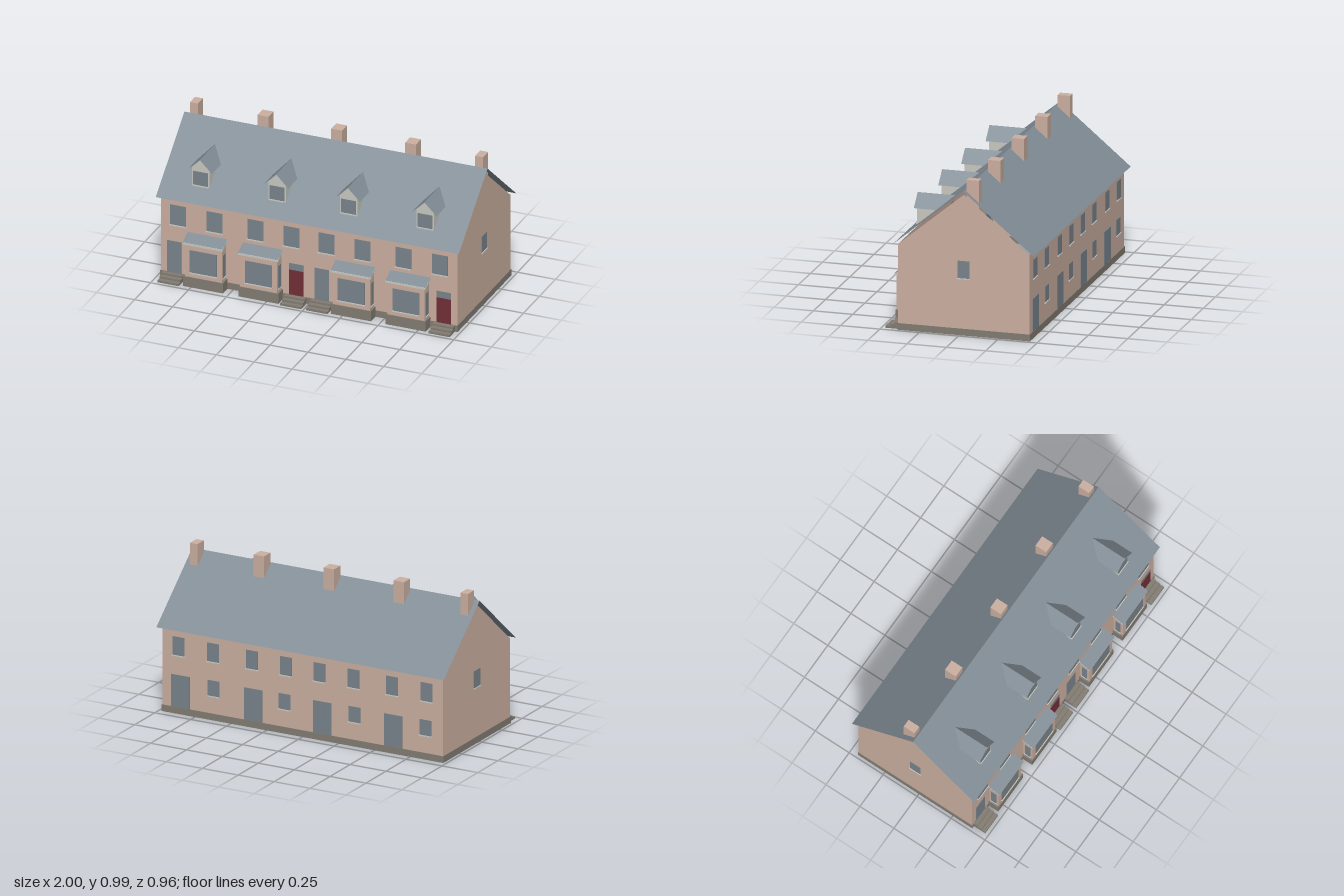
import * as THREE from 'three';

const mat = (name, color) => {
  const m = new THREE.MeshStandardMaterial({ color, side: THREE.DoubleSide });
  m.name = name;
  return m;
};

export function createModel() {
  const wall = mat('wall render', 0xcbafa0);
  const slate = mat('slate', 0x828d96);
  const glass = mat('glass', 0x79848c);
  const trim = mat('pale trim', 0xc9c9c1);
  const stone = mat('plinth stone', 0x827c72);
  const paint = mat('red door paint', 0x722e37);

  const model = new THREE.Group();
  model.name = 'terrace';

  const add = (name, geo, material, parent = model) => {
    const m = new THREE.Mesh(geo, material);
    m.name = name;
    parent.add(m);
    return m;
  };
  // box given by its min and max on each axis
  const box = (name, x0, x1, y0, y1, z0, z1, material, parent) =>
    add(name, new THREE.BoxGeometry(x1 - x0, y1 - y0, z1 - z0)
      .translate((x0 + x1) / 2, (y0 + y1) / 2, (z0 + z1) / 2), material, parent);
  // flat sheet through four corners
  const sheet = (name, corners, material, parent) => {
    const g = new THREE.BufferGeometry();
    g.setAttribute('position', new THREE.Float32BufferAttribute(corners.flat(), 3));
    g.setIndex([0, 1, 2, 0, 2, 3]);
    g.computeVertexNormals();
    return add(name, g, material, parent);
  };
  const outline = pts => new THREE.Shape(pts.map(p => new THREE.Vector2(...p)));
  // flat (z, y) outline standing at a given x
  const sideSheet = (name, pts, x, material, parent) =>
    add(name, new THREE.ShapeGeometry(outline(pts)).rotateY(-Math.PI / 2).translate(x, 0, 0), material, parent);
  // (z, y) outline drawn out along x, centred on x = 0
  const sideExtrude = (name, pts, width, material, parent) =>
    add(name, new THREE.ExtrudeGeometry(outline(pts), { depth: width, bevelEnabled: false })
      .rotateY(-Math.PI / 2).translate(width / 2, 0, 0), material, parent);
  const group = (name, x = 0) => {
    const g = new THREE.Group();
    g.name = name;
    g.position.x = x;
    model.add(g);
    return g;
  };

  const X = 0.978, FRONT = 0.39, BACK = -0.445, EAVE = 0.545, RIDGE_Z = -0.028;

  // main walls: an open-bottomed shell
  for (const z of [FRONT, BACK]) {
    const s = z > 0 ? 1 : -1;
    sheet(z > 0 ? 'frontWall' : 'backWall',
      [[-s * X, 0, z], [s * X, 0, z], [s * X, EAVE, z], [-s * X, EAVE, z]], wall);
  }
  for (const s of [-1, 1]) {
    sideSheet('gableWall', [[BACK, 0], [FRONT, 0], [FRONT, EAVE], [RIDGE_Z, 0.893], [BACK, EAVE]], s * X, wall);
    box('gablePlinth', s * X - 0.003, s * X + 0.003, 0, 0.042, BACK - 0.003, FRONT + 0.004, stone);
  }
  box('frontPlinth', -X, X, 0, 0.042, FRONT - 0.001, FRONT + 0.004, stone);
  box('backPlinth', -X, X, 0, 0.042, BACK - 0.004, BACK + 0.001, stone);

  // thin main roof slopes
  sheet('frontRoof', [[-1, EAVE, 0.42], [1, EAVE, 0.42], [1, 0.92, -0.03], [-1, 0.92, -0.03]], slate);
  sheet('backRoof', [[1, EAVE, -0.48], [-1, EAVE, -0.48], [-1, 0.92, -0.03], [1, 0.92, -0.03]], slate);

  // chimneys
  [[-0.942, 0.026], [-0.487, 0.036], [0, 0.036], [0.487, 0.036], [0.94, 0.026]].forEach(([x, h]) =>
    box('chimney', x - h, x + h, 0.8, 0.985, -0.12, -0.041, wall));

  // pane with a projecting sill on the front (s = 1) or back (s = -1)
  const pane = (name, x, half, y0, y1, z, s, material, sill = true, parent = model) => {
    const zs = d => [Math.min(z, z + s * d), Math.max(z, z + s * d)];
    box(name, x - half, x + half, y0, y1, ...zs(0.003), material, parent);
    if (sill) box('sill', x - half - 0.004, x + half + 0.004, y0 - 0.007, y0, ...zs(0.008), trim, parent);
  };

  // upper windows, front and back
  for (const s of [-1, 1]) for (const x of [0.864, 0.623, 0.353, 0.116]) {
    pane('frontUpperWindow', s * x, 0.052, 0.366, 0.5, FRONT, 1, glass);
    pane('backUpperWindow', s * x, 0.041, 0.376, 0.495, BACK, -1, glass);
  }
  // ground floor at the back
  for (const x of [0.85, 0.345, -0.137, -0.63]) pane('backDoor', x, 0.064, 0.042, 0.25, BACK, -1, glass, false);
  for (const x of [0.62, 0.125, -0.36, -0.855]) pane('backSmallWindow', x, 0.041, 0.155, 0.255, BACK, -1, glass);

  // gable windows
  for (const s of [-1, 1]) {
    const a = s * X, b = s * (X + 0.003), c = s * (X + 0.008);
    box('gableWindow', Math.min(a, b), Math.max(a, b), 0.362, 0.472, -0.065, 0.012, glass);
    box('gableSill', Math.min(a, c), Math.max(a, c), 0.356, 0.362, -0.069, 0.016, trim);
  }

  // front doors, alternating glazed and painted, each with three steps
  [[-0.89, false], [-0.085, true], [0.085, false], [0.89, true]].forEach(([x, red]) => {
    if (red) {
      pane('paintedDoor', x, 0.047, 0.04, 0.21, FRONT, 1, paint, false);
      pane('fanlight', x, 0.047, 0.21, 0.254, FRONT, 1, glass, false);
    } else pane('glazedDoor', x, 0.047, 0.04, 0.254, FRONT, 1, glass, false);
    const steps = sideExtrude('doorSteps', [[FRONT, 0], [0.477, 0], [0.477, 0.014], [0.448, 0.014],
      [0.448, 0.027], [0.419, 0.027], [0.419, 0.04], [FRONT, 0.04]], 0.138, stone);
    steps.position.x = Math.sign(x) * (Math.abs(x) > 0.5 ? 0.894 : 0.086);
  });

  // bay windows
  for (const x of [-0.67, -0.305, 0.307, 0.668]) {
    const bay = group('bayWindow', x);
    const h = 0.122, zf = 0.458;
    sheet('bayFront', [[-h, 0, zf], [h, 0, zf], [h, 0.292, zf], [-h, 0.292, zf]], wall, bay);
    box('bayPlinthFront', -0.132, 0.132, 0, 0.067, zf - 0.005, zf + 0.005, stone, bay);
    pane('bayPane', 0, 0.089, 0.1, 0.25, zf, 1, glass, true, bay);
    for (const s of [-1, 1]) {
      sideSheet('bayCheek', [[FRONT, 0], [zf, 0], [zf, 0.29], [FRONT, 0.322]], s * h, wall, bay);
      box('bayPlinthSide', s * 0.127 - 0.005, s * 0.127 + 0.005, 0, 0.067, FRONT, zf, stone, bay);
      box('baySidePane', s * h - 0.003, s * h + 0.003, 0.092, 0.245, 0.405, 0.442, glass, bay);
      box('baySideSill', s * h - 0.007, s * h + 0.007, 0.086, 0.092, 0.401, 0.446, trim, bay);
    }
    sideExtrude('bayRoofSlab', [[0.38, 0.322], [0.468, 0.284], [0.468, 0.297], [0.38, 0.336]], 0.264, trim, bay);
    sheet('bayRoofSlates', [[-0.132, 0.299, 0.469], [0.132, 0.299, 0.469],
      [0.132, 0.334, FRONT], [-0.132, 0.334, FRONT]], slate, bay);
  }

  // dormers
  for (const x of [-0.743, -0.239, 0.234, 0.739]) {
    const dormer = group('dormer', x);
    const h = 0.058, zf = 0.325;
    add('dormerFront', new THREE.ShapeGeometry(outline(
      [[-h, 0.61], [h, 0.61], [h, 0.745], [0, 0.803], [-h, 0.745]])).translate(0, 0, zf), trim, dormer);
    pane('dormerPane', 0, 0.049, 0.63, 0.722, zf, 1, glass, true, dormer);
    for (const s of [-1, 1]) {
      sideSheet('dormerCheek', [[zf, 0.61], [zf, 0.748], [0.177, 0.748]], s * h, trim, dormer);
      sheet('dormerRoof', [[s * 0.08, 0.73, 0.34], [s * 0.08, 0.73, 0.198], [0, 0.81, 0.102], [0, 0.81, 0.34]],
        slate, dormer);
    }
  }

  return model;
}
